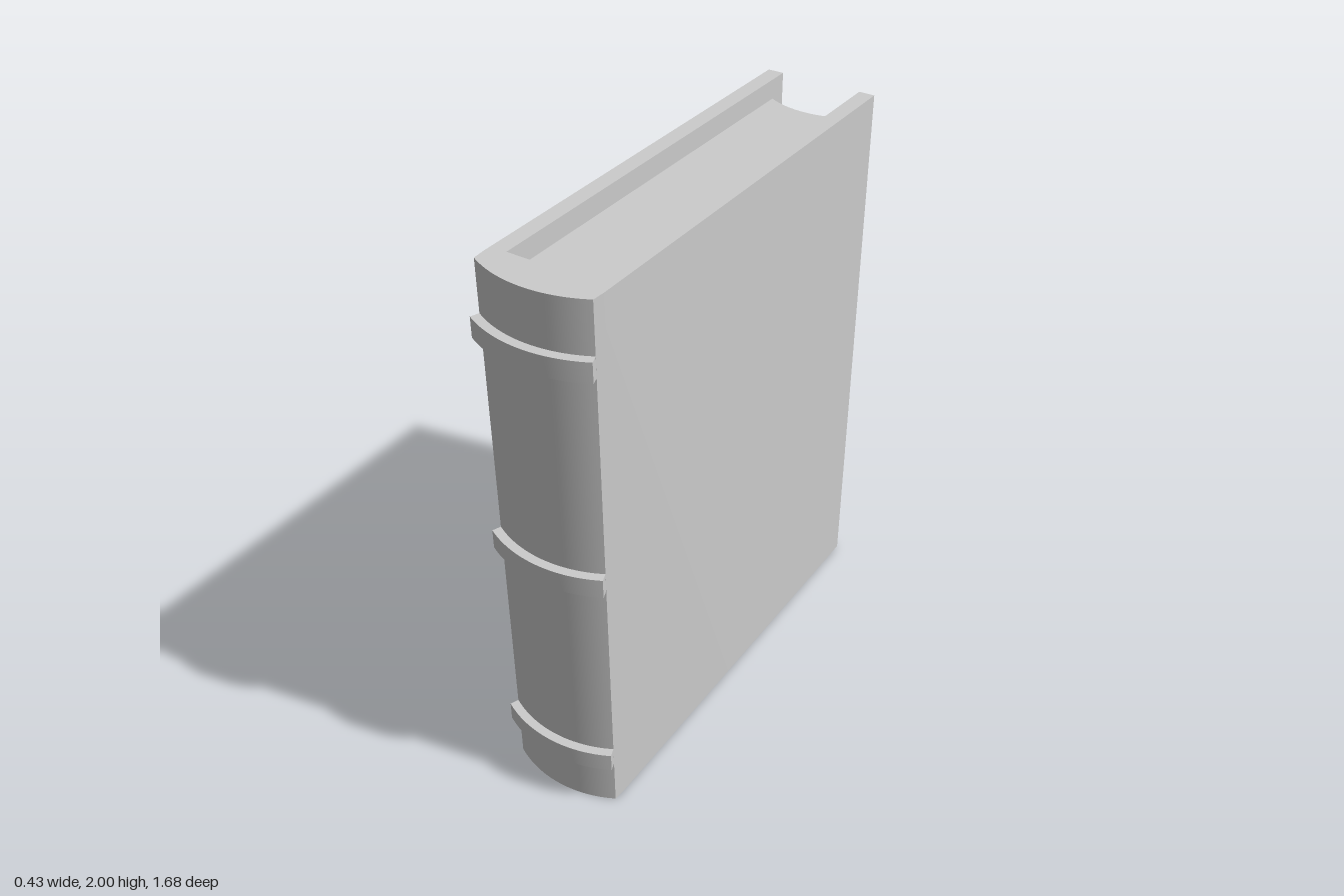
import * as THREE from 'three';
import { toCreasedNormals } from 'three/addons/utils/BufferGeometryUtils.js';

const material = new THREE.MeshStandardMaterial({ color: 0xcccccc });

// Points [x, z] on a circular arc from x = -half to x = half, at zEnd on the ends and zMid in the middle
function arc(half, zEnd, zMid, steps = 24) {
  const rise = zMid - zEnd;
  const radius = (half * half + rise * rise) / (2 * Math.abs(rise));
  const sweep = Math.asin(half / radius);
  return Array.from({ length: steps + 1 }, (_, i) => {
    const a = sweep * (2 * i / steps - 1);
    return [radius * Math.sin(a), zMid - Math.sign(rise) * radius * (1 - Math.cos(a))];
  });
}

// Upright prism from a plan outline of [x, z] points
function prism(name, outline, y0, y1) {
  const shape = new THREE.Shape(outline.map(([x, z]) => new THREE.Vector2(x, -z)));
  const geometry = new THREE.ExtrudeGeometry(shape, { depth: y1 - y0, bevelEnabled: false });
  geometry.rotateX(-Math.PI / 2);
  geometry.translate(0, y0, 0);
  const mesh = new THREE.Mesh(toCreasedNormals(geometry, 0.3), material);
  mesh.name = name;
  return mesh;
}

export function createModel() {
  const book = new THREE.Group();
  book.name = 'book';

  const back = -0.838, outer = 0.206, inner = 0.149, spineInner = 0.68;

  // Both boards and the rounded spine, one U-shaped outline
  book.add(prism('cover', [
    [-inner, back], [-outer, back], [-outer, 0.71],
    ...arc(0.203, 0.755, 0.807),
    [outer, 0.71], [outer, back], [inner, back],
    [inner, spineInner], [-inner, spineInner],
  ], 0, 2));

  // Page block, recessed at top and bottom, with a hollow fore edge
  book.add(prism('pages', [
    ...arc(inner, -0.77, -0.73),
    [inner, spineInner], [-inner, spineInner],
  ], 0.07, 1.93));

  // Raised bands across the spine
  for (const y of [0.218, 1.002, 1.787]) {
    book.add(prism('spineBand', [
      ...arc(0.214, 0.784, 0.838),
      ...arc(0.202, 0.753, 0.804).reverse(),
    ], y - 0.035, y + 0.035));
  }

  book.children.forEach((part) => { part.position.x = -0.002; });
  return book;
}
